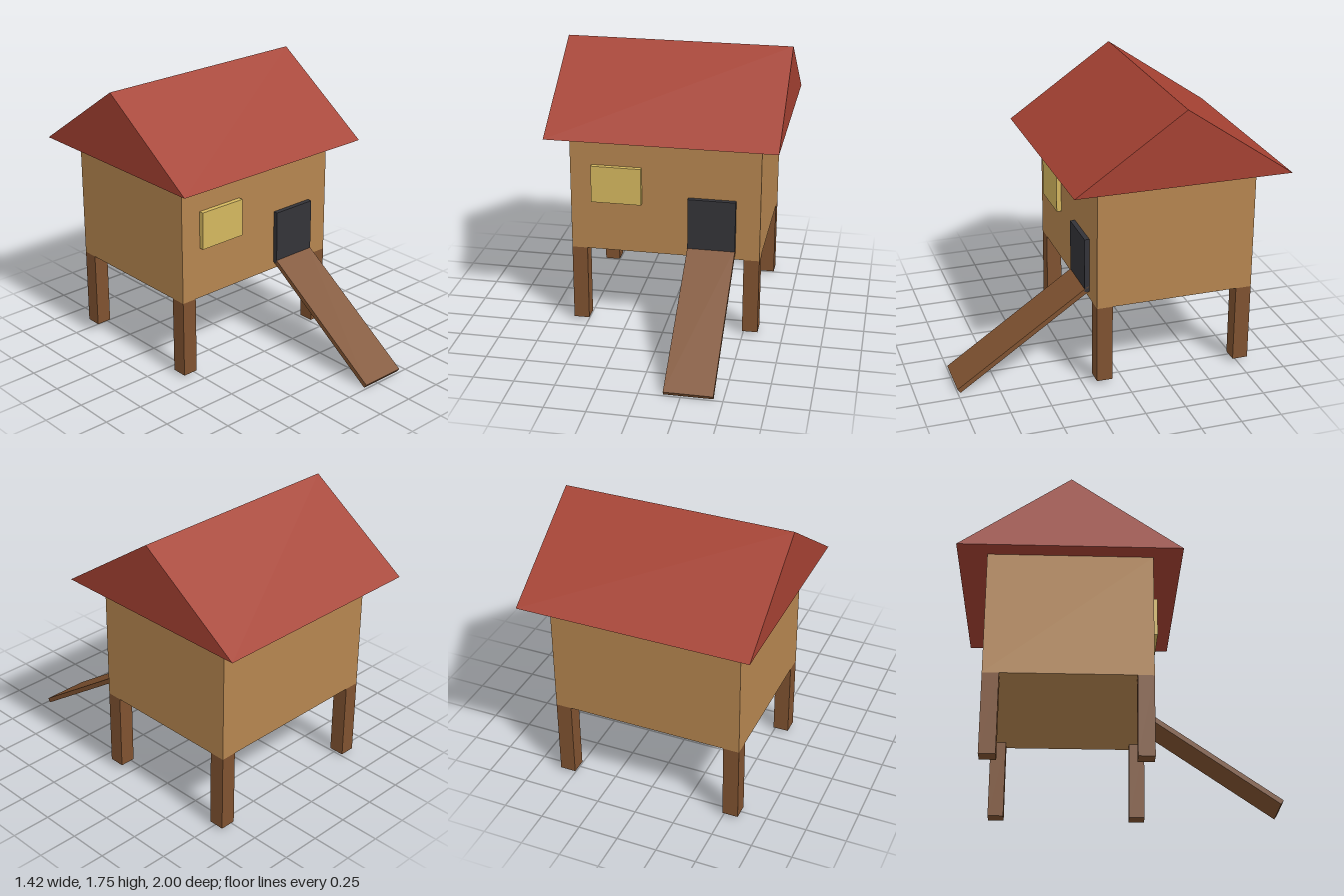
import * as THREE from 'three';

const mat = (color) => new THREE.MeshStandardMaterial({ color, flatShading: true });
const wall = mat(0xb5854f), wood = mat(0x7f5230), red = mat(0xa54132);
const dark = mat(0x333338), yellow = mat(0xd4b75f);

export function createModel() {
  const model = new THREE.Group();
  model.name = 'raisedCoop';
  const midZ = -0.326;

  // Box given by its extents on each axis
  const box = (name, material, [x0, x1], [y0, y1], [z0, z1]) => {
    const mesh = new THREE.Mesh(new THREE.BoxGeometry(x1 - x0, y1 - y0, z1 - z0), material);
    mesh.position.set((x0 + x1) / 2, (y0 + y1) / 2, (z0 + z1) / 2);
    mesh.name = name;
    model.add(mesh);
    return mesh;
  };

  // House body with window and doorway
  box('body', wall, [-0.593, 0.593], [0.512, 1.285], [midZ - 0.495, midZ + 0.495]);
  box('window', yellow, [-0.457, -0.143], [0.84, 1.077], [0.16, 0.199]);
  box('door', dark, [0.147, 0.443], [0.556, 0.902], [0.16, 0.199]);

  // Four corner legs
  for (const sx of [-1, 1]) {
    for (const sz of [-1, 1]) {
      const x = sx * 0.544, z = midZ + sz * 0.446;
      box('leg', wood, [x - 0.049, x + 0.049], [0.018, 0.512], [z - 0.049, z + 0.049]);
    }
  }

  // Gable roof: a triangle extruded along x
  const gable = new THREE.Shape([
    new THREE.Vector2(-0.67, 0), new THREE.Vector2(0.67, 0), new THREE.Vector2(0, 0.461),
  ]);
  const roofGeo = new THREE.ExtrudeGeometry(gable, { depth: 1.42, bevelEnabled: false });
  roofGeo.translate(0, 0, -0.71).rotateY(Math.PI / 2);
  const roof = new THREE.Mesh(roofGeo, red);
  roof.name = 'roof';
  roof.position.set(0, 1.285, midZ - 0.002);
  model.add(roof);

  // Sloping ramp, hung from its lower front edge
  const rampGeo = new THREE.BoxGeometry(0.296, 0.03, 1);
  rampGeo.translate(0, -0.015, -0.5);
  const ramp = new THREE.Mesh(rampGeo, wood);
  ramp.name = 'ramp';
  ramp.position.set(0.295, 0.025, 1);
  ramp.rotation.x = Math.atan2(0.55, 0.8);
  model.add(ramp);

  return model;
}
